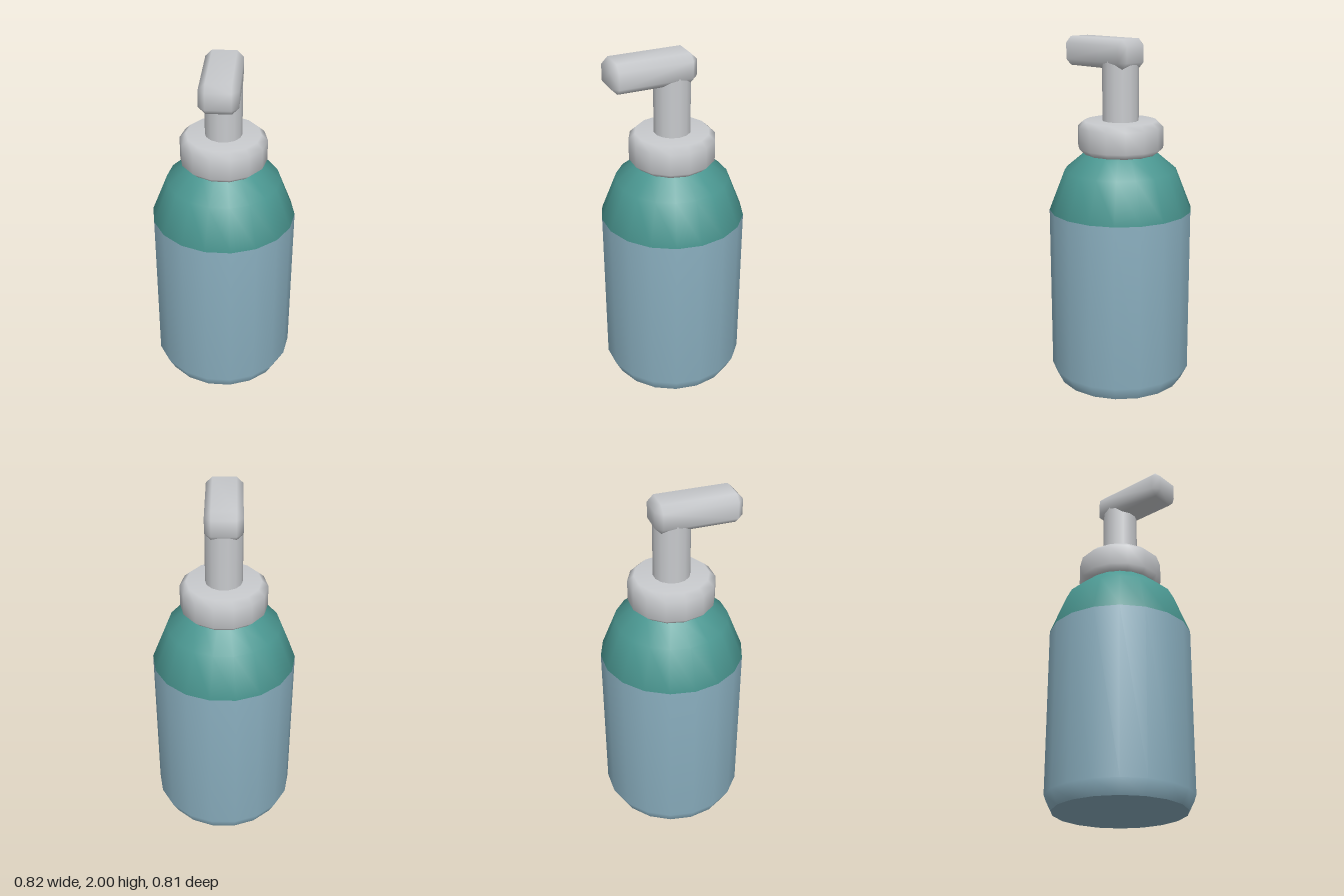
import * as THREE from 'three';
import { mergeVertices } from 'three/addons/utils/BufferGeometryUtils.js';
import { ConvexGeometry } from 'three/addons/geometries/ConvexGeometry.js';

const material = (name, color) => {
  const m = new THREE.MeshStandardMaterial({ color });
  m.name = name;
  return m;
};

// Turned profile with a corner on the x axis
function turned(points, sides) {
  const profile = points.map(([r, y]) => new THREE.Vector2(r, y));
  return new THREE.LatheGeometry(profile, sides, Math.PI / 2);
}

// Box with one bevel on every edge and smooth normals
function bevelledBox(w, h, d, bevel) {
  const points = [];
  for (const sx of [-1, 1]) for (const sy of [-1, 1]) for (const sz of [-1, 1]) {
    for (let axis = 0; axis < 3; axis++) {
      const inset = [0, 1, 2].map((i) => (i === axis ? 0 : bevel));
      points.push(new THREE.Vector3(
        sx * (w / 2 - inset[0]), sy * (h / 2 - inset[1]), sz * (d / 2 - inset[2])));
    }
  }
  const hull = new ConvexGeometry(points);
  hull.deleteAttribute('normal');
  const smooth = mergeVertices(hull, 1e-4);
  smooth.computeVertexNormals();
  return smooth;
}

export function createModel() {
  const model = new THREE.Group();
  model.name = 'pumpBottle';
  const blue = material('paleBlue', 0x87abbb);
  const teal = material('teal', 0x4b9892);
  const grey = material('lightGrey', 0xc8cacd);

  const add = (name, geometry, mat, x = 0, y = 0, z = 0) => {
    const mesh = new THREE.Mesh(geometry, mat);
    mesh.name = name;
    mesh.position.set(x, y, z);
    model.add(mesh);
    return mesh;
  };

  // Bottle: blue wall and teal shoulder sharing one smooth surface
  const sides = 18;
  const wall = turned([[0.37, 0], [0.41, 0.08], [0.41, 1.035], [0.32, 1.265], [0.205, 1.362]], sides);
  for (let i = 0; i < sides; i++) {
    wall.addGroup(i * 24, 12, 0);
    wall.addGroup(i * 24 + 12, 12, 1);
  }
  add('bottle', wall, [blue, teal]);

  // Flat underside
  add('bottleBase', new THREE.CircleGeometry(0.37, sides), blue).rotation.x = Math.PI / 2;

  // Bevelled collar
  add('collar', turned([[0, 1.36], [0.207, 1.36], [0.243, 1.393], [0.243, 1.513], [0.207, 1.546], [0, 1.546]], 14), grey);

  // Pump stem, running up into the head
  add('stem', turned([[0.103, 1.53], [0.103, 1.88]], 14), grey);

  // Pump head with spout toward the front
  add('pumpHead', bevelledBox(0.204, 0.163, 0.483, 0.036), grey, 0, 1.9185, 0.1285);

  return model;
}
